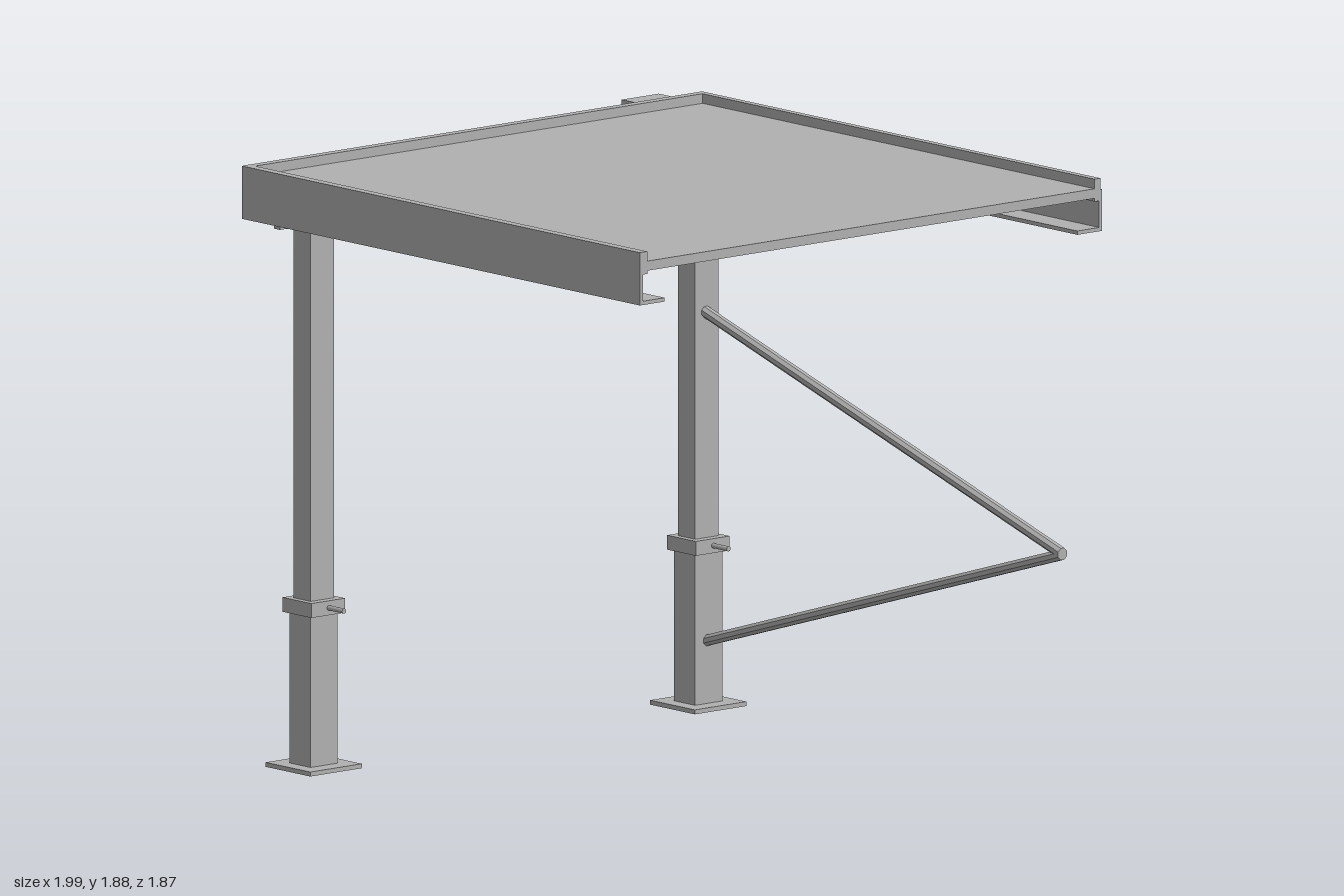
import * as THREE from 'three';

export function createModel() {
  const model = new THREE.Group();
  model.name = 'canopyTable';
  const steel = new THREE.MeshStandardMaterial({ color: 0xb0b0b0 });
  steel.name = 'grey steel';

  // Box given by its limits on each axis
  function box(parent, name, x0, x1, y0, y1, z0, z1) {
    const mesh = new THREE.Mesh(new THREE.BoxGeometry(x1 - x0, y1 - y0, z1 - z0), steel);
    mesh.position.set((x0 + x1) / 2, (y0 + y1) / 2, (z0 + z1) / 2);
    mesh.name = name;
    parent.add(mesh);
    return mesh;
  }

  // Channel rail: profile drawn in (inward depth, height), extruded lengthwise
  function rail(name, length, lip) {
    const points = [
      [0, 1.71], [0.1, 1.71], [0.1, 1.722], [0.012, 1.722], [0.012, 1.805],
      [0.03, 1.805], [0.03, 1.875], [lip, 1.875], [lip, 1.84], [0, 1.84],
    ];
    const shape = new THREE.Shape(points.map(([a, b]) => new THREE.Vector2(a, b)));
    const geometry = new THREE.ExtrudeGeometry(shape, { depth: length, bevelEnabled: false });
    const mesh = new THREE.Mesh(geometry, steel);
    mesh.name = name;
    model.add(mesh);
    return mesh;
  }
  const frontRail = rail('frontRail', 1.87, 0);
  frontRail.rotation.y = Math.PI / 2;
  frontRail.position.set(-0.87, 0, 0.935);
  const backRail = rail('backRail', 1.87, 0.006);
  backRail.rotation.y = -Math.PI / 2;
  backRail.position.set(1, 0, -0.935);
  const sideRail = rail('sideRail', 1.846, 0);
  sideRail.position.set(-0.872, 0, -0.923);

  // Deck and the cross beam under it
  box(model, 'deckPanel', -0.845, 1, 1.815, 1.845, -0.907, 0.907);
  box(model, 'crossBeam', 0.06, 0.13, 1.77, 1.816, -0.835, 0.835);

  // Drive housing on the back right corner
  box(model, 'driveHousing', -0.99, -0.85, 1.71, 1.86, -0.855, -0.705);

  // Two telescopic legs
  const px = -0.715;
  for (const [name, pz] of [['frontLeg', 0.778], ['backLeg', -0.778]]) {
    const leg = new THREE.Group();
    leg.name = name;
    leg.position.set(px, 0, pz);
    model.add(leg);
    box(leg, 'basePlate', -0.105, 0.105, 0, 0.014, -0.104, 0.104);
    box(leg, 'outerTube', -0.049, 0.049, 0.014, 0.487, -0.055, 0.055);
    box(leg, 'collar', -0.068, 0.068, 0.485, 0.53, -0.068, 0.068);
    box(leg, 'innerTube', -0.04, 0.04, 0.53, 1.695, -0.047, 0.047);
    box(leg, 'capPlate', -0.043, 0.05, 1.695, 1.71, -0.066, 0.066);
    box(leg, 'topBlock', -0.04, 0.04, 1.71, 1.77, -0.055, 0.055);
    box(leg, 'topBracket', -0.068, -0.04, 1.685, 1.71, 0.05, 0.102);
    // Clamp handle
    const handle = new THREE.Mesh(new THREE.CylinderGeometry(0.008, 0.008, 0.075, 12), steel);
    handle.rotation.z = Math.PI / 2;
    handle.position.set(0.102, 0.508, -0.003);
    handle.name = 'clampHandle';
    leg.add(handle);
  }

  // Braces: octagonal bars sheared so both ends stay upright and meet at the tip
  function brace(name, x0, y0, x1, y1) {
    const length = x1 - x0;
    const slope = (y1 - y0) / length;
    const r = 0.0175 / Math.cos(Math.PI / 8);
    let geometry = new THREE.CylinderGeometry(r, r, length, 8);
    geometry.rotateY(Math.PI / 8);
    geometry.rotateZ(-Math.PI / 2);
    const p = geometry.attributes.position;
    for (let i = 0; i < p.count; i++) p.setY(i, p.getY(i) + slope * p.getX(i));
    geometry = geometry.toNonIndexed();
    geometry.computeVertexNormals();
    const mesh = new THREE.Mesh(geometry, steel);
    mesh.position.set((x0 + x1) / 2, (y0 + y1) / 2, -0.775);
    mesh.name = name;
    model.add(mesh);
  }
  brace('upperBrace', -0.68, 1.236, 1, 0.722);
  brace('lowerBrace', -0.67, 0.21, 1, 0.72);

  return model;
}
